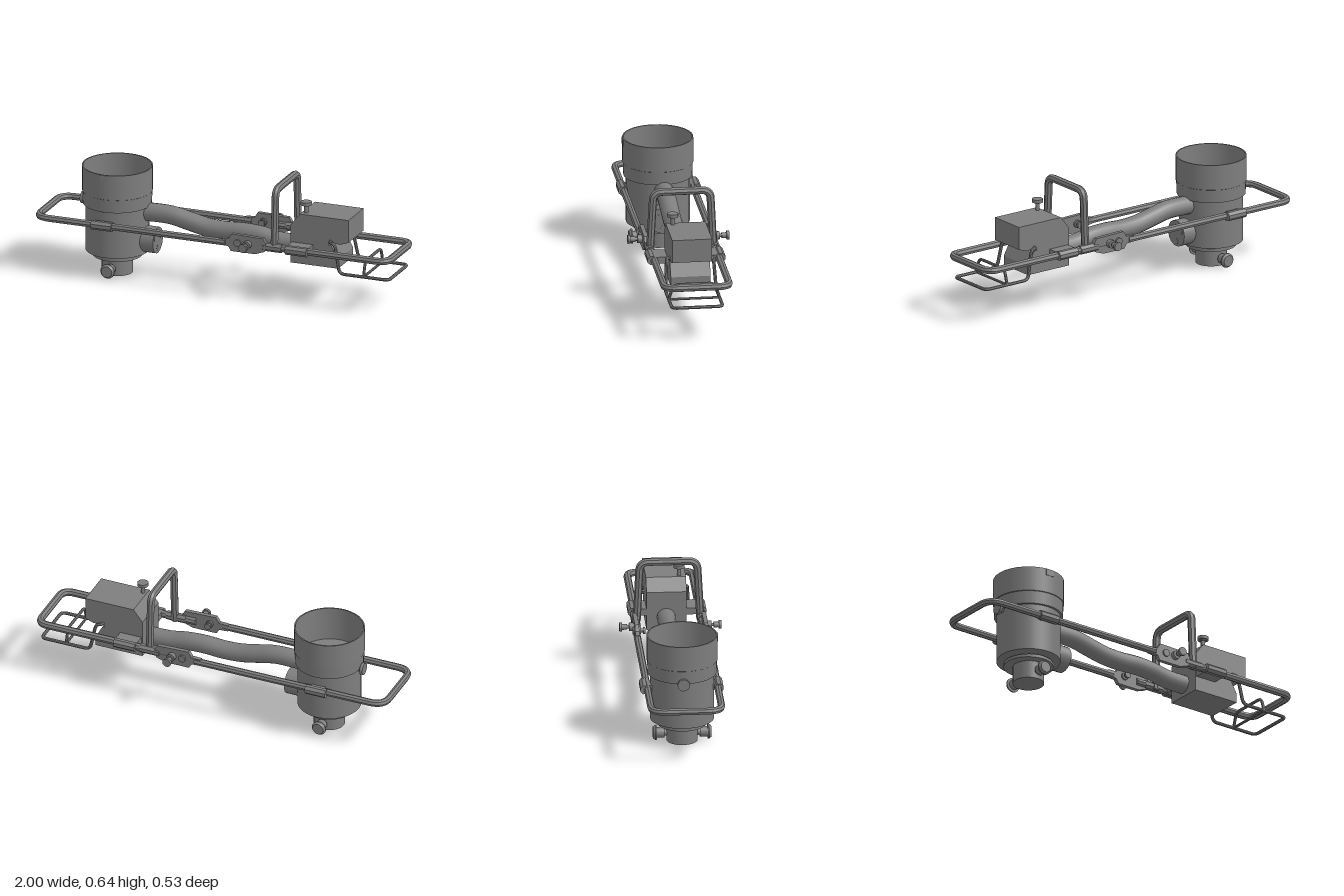
import * as THREE from 'three';

const mat = new THREE.MeshStandardMaterial({ color: 0x7e7e7e, side: THREE.DoubleSide });
const flatMat = mat.clone();
flatMat.flatShading = true;
const V = (x, y, z) => new THREE.Vector3(x, y, z);

export function createModel() {
  const root = new THREE.Group();

  const add = (name, geo, x = 0, y = 0, z = 0, material = mat) => {
    const m = new THREE.Mesh(geo, material);
    m.name = name;
    m.position.set(x, y, z);
    root.add(m);
    return m;
  };
  const box = (name, x0, x1, y0, y1, z0, z1) =>
    add(name, new THREE.BoxGeometry(x1 - x0, y1 - y0, Math.abs(z1 - z0)), (x0 + x1) / 2, (y0 + y1) / 2, (z0 + z1) / 2);

  // Turned part: profile of [radius, distance along axis]
  const turned = (name, profile, pos, axis = V(0, 1, 0), sides = 24) => {
    const pts = [];
    // doubled points keep the profile edges crisp
    profile.forEach(([r, h], i) => {
      pts.push(new THREE.Vector2(r, h));
      if (i > 0 && i < profile.length - 1) pts.push(new THREE.Vector2(r, h + 1e-5));
    });
    const m = add(name, new THREE.LatheGeometry(pts, sides), pos.x, pos.y, pos.z);
    m.quaternion.setFromUnitVectors(V(0, 1, 0), axis);
    return m;
  };

  // Eight-sided sleeve along x, flats facing up and outward
  const sleeve = (name, x0, x1, r, y, z) => {
    const geo = new THREE.CylinderGeometry(r, r, x1 - x0, 8).rotateY(Math.PI / 8).rotateZ(Math.PI / 2);
    add(name, geo, (x0 + x1) / 2, y, z, flatMat);
  };

  // Bent tube through corner points with rounded corners
  const bentTube = (name, pts, r, bend, closed = false, segments = 160) => {
    const path = new THREE.CurvePath();
    const n = pts.length;
    const toward = (a, b) => a.clone().add(b.clone().sub(a).setLength(Math.min(bend, a.distanceTo(b) * 0.48)));
    const start = closed ? pts[0].clone().lerp(pts[n - 1], 0.5) : pts[0];
    let last = start;
    for (let i = closed ? 0 : 1; i < (closed ? n : n - 1); i++) {
      const p = pts[i], a = toward(p, pts[(i + n - 1) % n]), b = toward(p, pts[(i + 1) % n]);
      path.add(new THREE.LineCurve3(last, a));
      path.add(new THREE.QuadraticBezierCurve3(a, p, b));
      last = b;
    }
    path.add(new THREE.LineCurve3(last, closed ? start : pts[n - 1]));
    add(name, new THREE.TubeGeometry(path, segments, r, 8, closed), 0, 0, 0, flatMat);
    if (closed) return;
    // flat end caps
    [[pts[0], pts[1]], [pts[n - 1], pts[n - 2]]].forEach(([e, inner]) => {
      const cap = add(name + 'Cap', new THREE.CircleGeometry(r, 8), e.x, e.y, e.z);
      cap.lookAt(e.clone().multiplyScalar(2).sub(inner));
    });
  };

  // Outline in x/y extruded between two z values
  const plate = (name, outline, z0, z1) =>
    add(name, new THREE.ExtrudeGeometry(new THREE.Shape(outline.map(([x, y]) => new THREE.Vector2(x, y))),
      { depth: z1 - z0, bevelEnabled: false }), 0, 0, z0);

  // Open collecting canister
  const cx = -0.597;
  turned('canisterBody', [[0, 0.125], [0.167, 0.125], [0.167, 0.39], [0, 0.39]], V(cx, 0, 0), undefined, 32);
  turned('canisterCup', [[0.165, 0.38], [0.18, 0.38], [0.182, 0.45], [0.185, 0.452], [0.185, 0.587],
    [0.178, 0.587], [0.174, 0.4], [0, 0.4]], V(cx, 0, 0), undefined, 32);
  turned('bottomFlange', [[0, 0.095], [0.13, 0.095], [0.13, 0.112], [0, 0.112]], V(cx, 0, 0), undefined, 32);
  turned('bottomSpigot', [[0, 0], [0.082, 0], [0.082, 0.096], [0, 0.096]], V(cx, 0, 0), undefined, 32);
  for (const s of [1, -1])
    turned('spigotKnob', [[0, 0.07], [0.018, 0.07], [0.018, 0.092], [0.027, 0.092], [0.027, 0.133],
      [0.039, 0.133], [0.039, 0.14], [0.03, 0.152], [0, 0.152]], V(cx, 0.042, 0), V(0, 0, s), 16);
  turned('sideKnob', [[0, 0], [0.018, 0], [0.018, 0.022], [0.032, 0.022], [0.032, 0.038], [0, 0.038]],
    V(-0.76, 0.38, -0.005), V(-1, 0, 0), 16);
  box('cupLatch', -0.62, -0.575, 0.55, 0.585, 0.181, 0.187);

  // Bolted side port
  turned('sidePort', [[0, 0], [0.07, 0], [0.07, 0.1], [0, 0.1]], V(-0.47, 0.2, 0), V(1, 0, 0));
  for (let i = 0; i < 3; i++) {
    const a = Math.PI + i * Math.PI * 2 / 3;
    turned('portBolt', [[0, 0], [0.017, 0], [0.017, 0.004], [0, 0.004]],
      V(-0.372, 0.2 + 0.042 * Math.cos(a), 0.042 * Math.sin(a)), V(1, 0, 0), 12);
  }

  // Wavy duct from canister to motor housing
  const duct = new THREE.CatmullRomCurve3([[-0.47, 0.345], [-0.3, 0.345], [-0.2, 0.325], [-0.1, 0.305],
    [0, 0.3], [0.1, 0.305], [0.2, 0.3], [0.3, 0.283], [0.45, 0.28]].map(([x, y]) => V(x, y, -0.01)));
  add('duct', new THREE.TubeGeometry(duct, 48, 0.049, 16));

  // Carrying frame in two halves
  const railY = 0.308;
  bentTube('canisterFrame', [V(0.085, railY, -0.184), V(-0.982, railY, -0.184), V(-0.982, railY, 0.183),
    V(0.085, railY, 0.183)], 0.019, 0.075);
  bentTube('motorFrame', [V(0.23, railY, -0.175), V(0.981, railY, -0.175), V(0.981, railY, 0.165),
    V(0.23, railY, 0.165)], 0.02, 0.06);

  // Handle hoop
  bentTube('handleHoop', [V(0.349, 0.29, -0.168), V(0.349, 0.617, -0.152), V(0.349, 0.617, 0.146),
    V(0.349, 0.29, 0.164)], 0.021, 0.045);

  // Mounts and folding joints on both sides
  for (const s of [1, -1]) {
    const z = 0.18 * s - 0.003;
    sleeve('canisterMount', -0.665, -0.55, 0.025, railY, 0.193 * s - 0.005);
    box('canisterMountLug', -0.645, -0.57, 0.292, 0.324, 0.14 * s, 0.185 * s);
    sleeve('motorMount', 0.42, 0.54, 0.025, railY, 0.181 * s - 0.004);
    box('motorMountLug', 0.42, 0.54, 0.29, 0.326, 0.08 * s, 0.175 * s);
    sleeve('hoopSleeve', 0.285, 0.395, 0.024, railY, 0.172 * s - 0.005);
    plate('jointPlate', [[0.05, 0.293], [0.1, 0.29], [0.115, 0.265], [0.25, 0.265], [0.3, 0.283], [0.31, 0.3],
      [0.31, 0.33], [0.295, 0.355], [0.12, 0.36], [0.1, 0.33], [0.05, 0.328]], z - 0.011, z + 0.011);
    const jointY = 0.314;
    turned('jointKnob', [[0, 0], [0.022, 0], [0.022, 0.035], [0.009, 0.035], [0.009, 0.046], [0.015, 0.046],
      [0.015, 0.072], [0.023, 0.072], [0.023, 0.086], [0, 0.086]], V(0.21, jointY, z), V(0, 0, s), 16);
    turned('jointBolt', [[0, -0.02], [0.02, -0.02], [0.02, 0.022], [0.011, 0.022], [0.011, 0.034], [0.018, 0.034],
      [0.018, 0.045], [0, 0.045]], V(0.153, jointY, z), V(0, 0, -s), 16);
  }

  // Motor housing
  plate('motorCover', [[0.414, 0.335], [0.62, 0.335], [0.64, 0.35], [0.69, 0.345], [0.738, 0.362], [0.738, 0.485],
    [0.465, 0.485], [0.414, 0.42]], -0.112, 0.097);
  plate('motorBase', [[0.414, 0.212], [0.68, 0.212], [0.68, 0.262], [0.64, 0.336], [0.414, 0.336]], -0.112, 0.097);
  turned('fillerCap', [[0, 0.48], [0.011, 0.48], [0.011, 0.523], [0.018, 0.523], [0.018, 0.528], [0.029, 0.528],
    [0.029, 0.546], [0, 0.546]], V(0.487, 0, 0.062), undefined, 16);

  // Thin skid under the motor, with a hoop tying it to the frame
  const skidZ = [-0.138, 0.128];
  bentTube('skid', [V(0.975, 0.197, skidZ[0]), V(0.7, 0.197, skidZ[0]), V(0.67, 0.352, -0.128), V(0.637, 0.356, -0.125),
    V(0.637, 0.356, 0.115), V(0.67, 0.352, 0.118), V(0.7, 0.197, skidZ[1]), V(0.975, 0.197, skidZ[1])], 0.009, 0.03, true, 220);
  bentTube('skidHoop', [V(0.835, 0.197, skidZ[0]), V(0.835, 0.277, -0.113), V(0.835, 0.277, 0.103),
    V(0.835, 0.197, skidZ[1])], 0.008, 0.03, false, 60);
  bentTube('skidCrossbar', [V(0.835, 0.197, skidZ[0]), V(0.835, 0.197, skidZ[1])], 0.007, 0.01, false, 4);

  return root;
}
